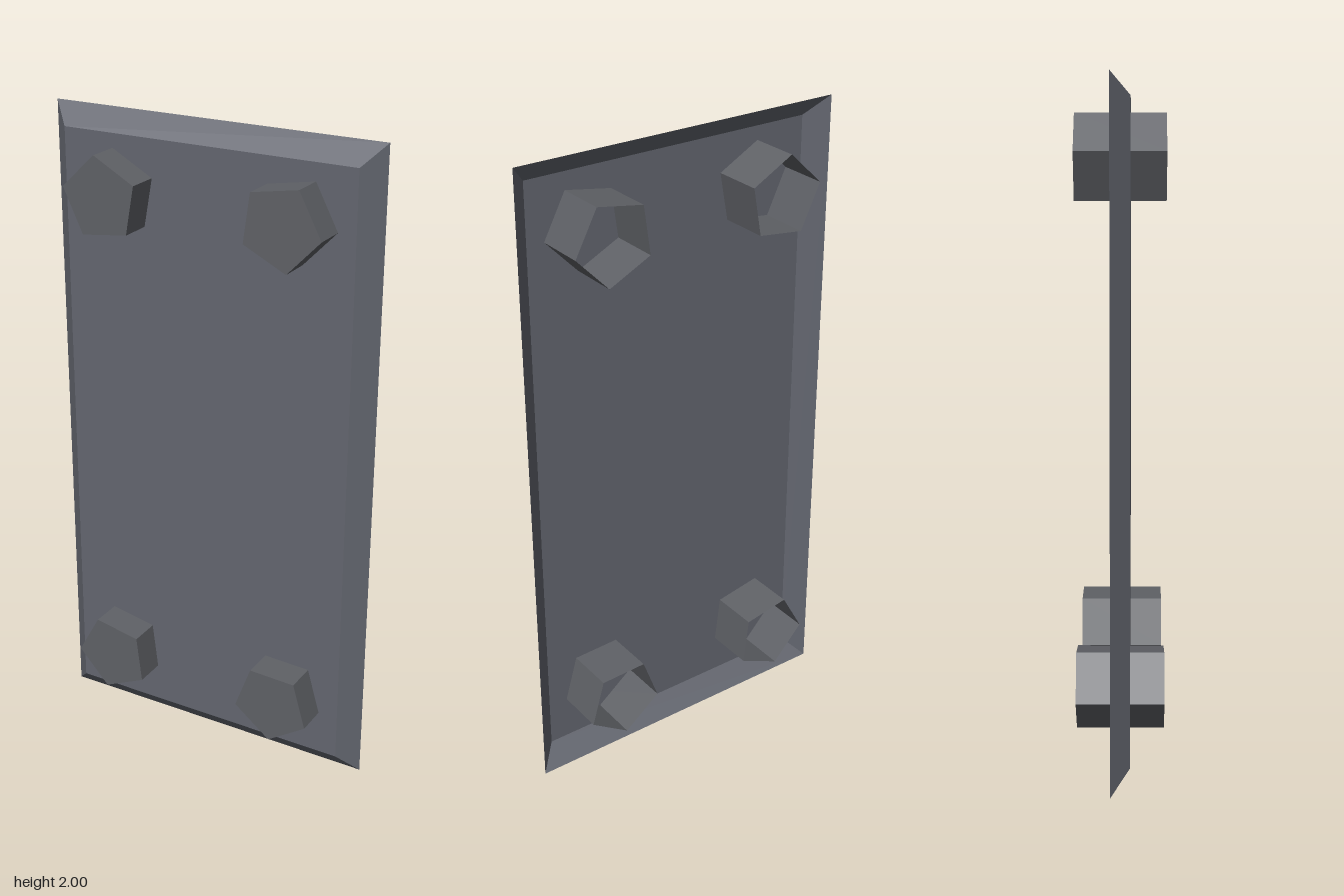
import * as THREE from 'three';

const panelGrey = new THREE.MeshStandardMaterial({ color: 0x63666f, side: THREE.DoubleSide });
panelGrey.name = 'panel grey';
const studGrey = new THREE.MeshStandardMaterial({ color: 0x5f6166, side: THREE.DoubleSide });
studGrey.name = 'stud grey';

// Extruded shell along z: walls from a back outline to a front outline, closed only at the front
function openShell(back, front, zBack, zFront) {
  const p = [];
  const n = back.length;
  const put = (v, z) => p.push(v[0], v[1], z);
  for (let i = 0; i < n; i++) {
    const j = (i + 1) % n;
    put(back[i], zBack); put(back[j], zBack); put(front[j], zFront);
    put(back[i], zBack); put(front[j], zFront); put(front[i], zFront);
  }
  for (let i = 1; i < n - 1; i++) {
    put(front[0], zFront); put(front[i], zFront); put(front[i + 1], zFront);
  }
  const g = new THREE.BufferGeometry();
  g.setAttribute('position', new THREE.Float32BufferAttribute(p, 3));
  g.computeVertexNormals();
  return g;
}

const rectangle = (w, y0, y1) => [[-w, y0], [w, y0], [w, y1], [-w, y1]];

const pentagon = (radius, degrees) => Array.from({ length: 5 }, (_, i) => {
  const a = THREE.MathUtils.degToRad(degrees + i * 72);
  return [radius * Math.cos(a), radius * Math.sin(a)];
});

export function createModel() {
  const model = new THREE.Group();
  model.name = 'studdedPanel';

  // Bevelled panel, hollow at the back
  const panel = new THREE.Mesh(
    openShell(rectangle(0.53, 0, 2), rectangle(0.47, 0.063, 1.937), -0.028, 0.027), panelGrey);
  panel.name = 'panel';
  model.add(panel);

  // Five-sided studs through the corners, each turned differently
  const studs = [
    ['upperRightStud', -0.289, 1.768, 25.5],
    ['upperLeftStud', 0.289, 1.77, 64],
    ['lowerRightStud', -0.291, 0.25, 43],
    ['lowerLeftStud', 0.288, 0.249, 52],
  ];
  for (const [name, x, y, turn] of studs) {
    const outline = pentagon(0.127, turn);
    const stud = new THREE.Mesh(openShell(outline, outline, -0.128, 0.126), studGrey);
    stud.name = name;
    stud.position.set(x, y, 0);
    model.add(stud);
  }
  return model;
}
